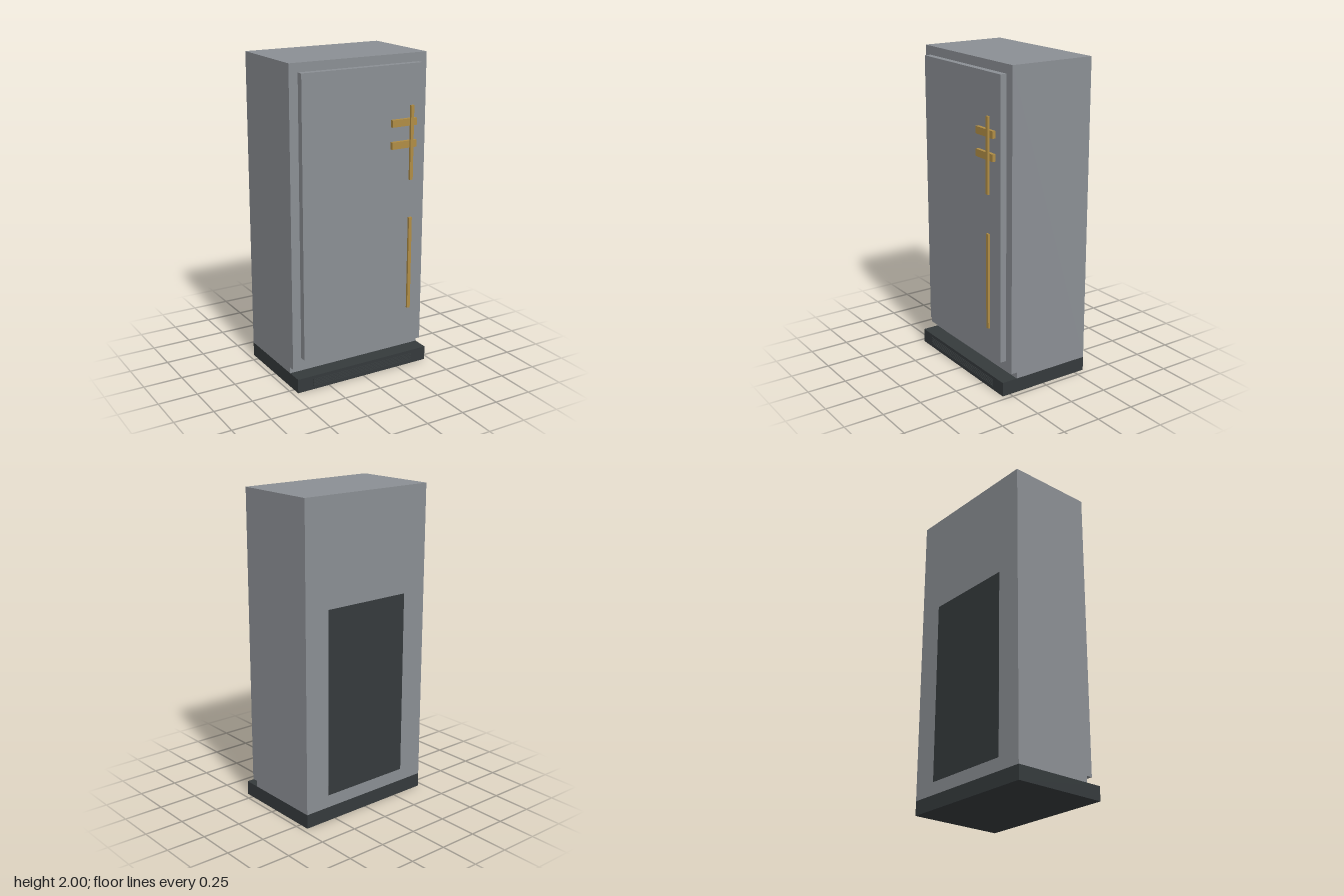
import * as THREE from 'three';

const paint = (color) => new THREE.MeshStandardMaterial({ color });

export function createModel() {
  const group = new THREE.Group();
  const steel = paint(0x8b8f94);
  const dark = paint(0x353a3c);
  const brass = paint(0xb08d45);

  // Box given by its minimum and maximum on each axis
  function box(name, material, [x0, x1], [y0, y1], [z0, z1]) {
    const mesh = new THREE.Mesh(new THREE.BoxGeometry(x1 - x0, y1 - y0, z1 - z0), material);
    mesh.position.set((x0 + x1) / 2, (y0 + y1) / 2, (z0 + z1) / 2);
    mesh.name = name;
    group.add(mesh);
  }

  const W = 0.467, back = -0.316;

  // Cabinet: side profile (z, y) with a toe recess, extruded across the width
  const profile = new THREE.Shape([
    [back, 0.09], [0.2, 0.09], [0.2, 0.13], [0.24, 0.13], [0.24, 2], [back, 2],
  ].map(([z, y]) => new THREE.Vector2(z, y)));
  const cabinetGeometry = new THREE.ExtrudeGeometry(profile, { depth: 2 * W, bevelEnabled: false });
  cabinetGeometry.translate(0, 0, -W).rotateY(-Math.PI / 2);
  const cabinet = new THREE.Mesh(cabinetGeometry, steel);
  cabinet.name = 'cabinet';
  group.add(cabinet);

  // Door slab, set proud of the cabinet front
  box('door', steel, [-0.41, 0.41], [0.195, 1.945], [0.24, 0.282]);

  // Plinth with a slatted vent on its front
  box('plinth', dark, [-W, W], [0, 0.09], [back, 0.303]);
  for (let i = 0; i < 5; i++) {
    const y = 0.022 + i * 0.01;
    box('ventSlat', dark, [-0.36, 0.36], [y, y + 0.006], [0.302, 0.307]);
  }

  // Rear service panel
  box('rearPanel', dark, [-0.3, 0.3], [0.17, 1.34], [back - 0.001, back + 0.01]);

  // Latch blocks and the two upright handle bars
  for (const y of [1.44, 1.575]) box('latchBlock', brass, [0.19, 0.363], [y, y + 0.044], [0.282, 0.304]);
  for (const span of [[0.4, 1.0], [1.24, 1.7]]) box('handleBar', brass, [0.312, 0.333], span, [0.303, 0.317]);

  return group;
}
